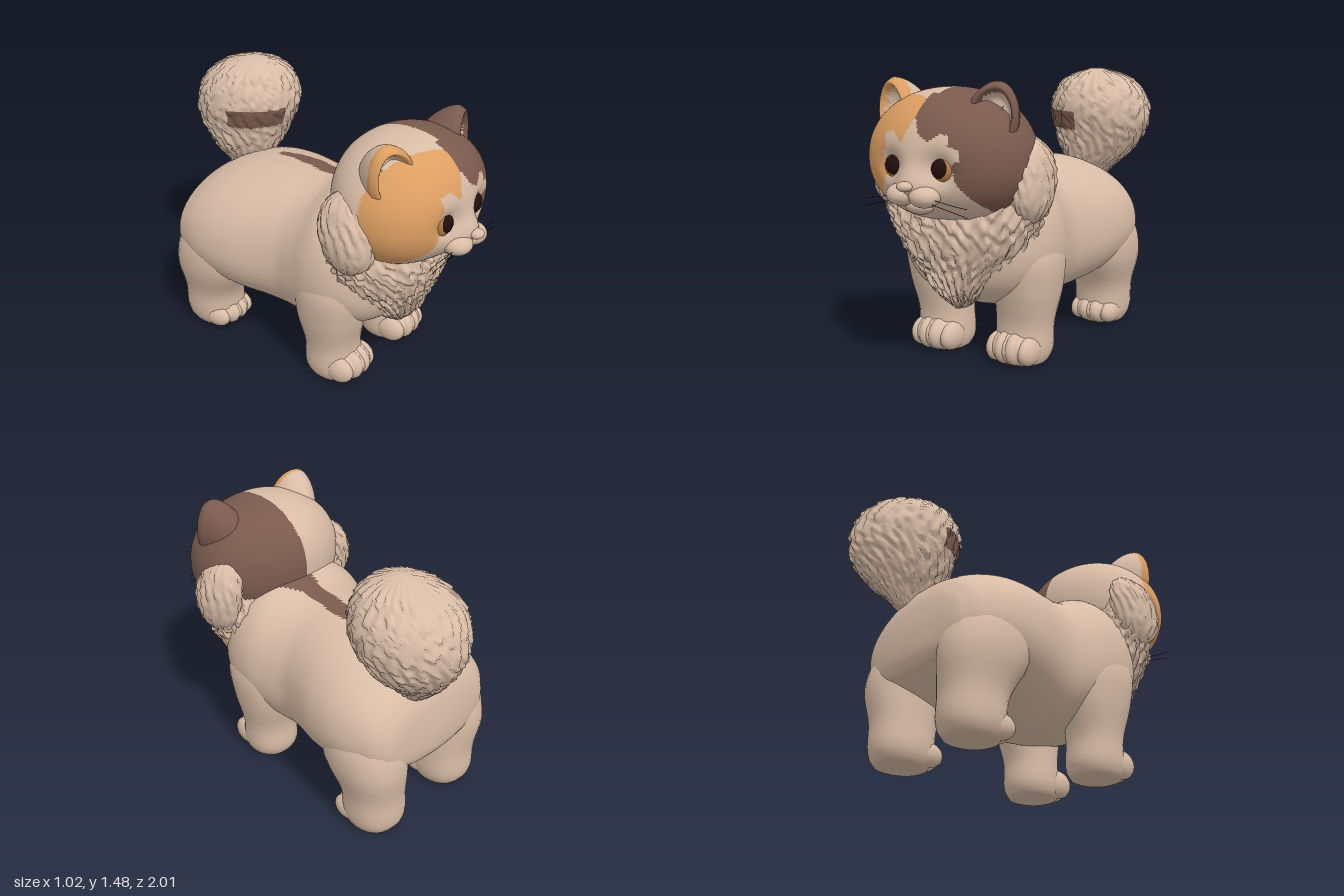
import * as THREE from 'three';

const mat = (name, color) => Object.assign(new THREE.MeshStandardMaterial({ color }), { name });
const cream = mat('cream fur', 0xd8bca6);
const brown = mat('dark brown fur', 0x7a5a4e);
const orange = mat('orange fur', 0xdc9e62);
const amber = mat('amber iris', 0xb07a42);
const black = mat('eye black', 0x220d0d);
const furs = [cream, brown, orange];

// Smooth closed skin through elliptical rows [t, centreX, centre2, radiusX, radius2].
// Axis 'y' uses z as second direction, axis 'z' uses y.
function loft(rows, axis, { seg = 28, steps = 24, power = 2, egg = 0, fur = null } = {}) {
  const curve = new THREE.CubicInterpolant(rows.map(r => r[0]), rows.flatMap(r => r.slice(1)), 4, new Float32Array(4));
  const t0 = rows[0][0], t1 = rows[rows.length - 1][0];
  const pos = [], index = [];
  for (let i = 0; i <= steps + 2; i++) {
    const u = Math.min(Math.max(i - 1, 0), steps) / steps;
    const t = t0 + (t1 - t0) * (0.5 * u + 0.25 * (1 - Math.cos(Math.PI * u)));
    const [cx, c2, rx, r2] = curve.evaluate(t);
    const cap = i === 0 || i === steps + 2 ? 0.001 : 1;
    for (let j = 0; j < seg; j++) {
      const a = j / seg * Math.PI * 2;
      const round = v => Math.sign(v) * Math.pow(Math.abs(v), 2 / power);
      const c = round(Math.cos(a)), s = round(Math.sin(a));
      const d = fur ? fur(a, t) * Math.min(1, rx / 0.15) : 0;
      const x = cx + (rx + d) * cap * c * (1 - egg * s), v = (r2 + d) * cap * s;
      if (axis === 'y') pos.push(x, t, c2 - v);
      else pos.push(x, c2 + v, t);
      if (i < steps + 2) {
        const p = i * seg + j, q = i * seg + (j + 1) % seg;
        index.push(p, q, p + seg, q, q + seg, p + seg);
      }
    }
  }
  const geo = new THREE.BufferGeometry();
  geo.setAttribute('position', new THREE.Float32BufferAttribute(pos, 3));
  geo.setIndex(index);
  geo.computeVertexNormals();
  return geo;
}

// Sort faces into material groups by a rule on the face centre.
function paint(geo, rule) {
  const p = geo.attributes.position, src = geo.index.array, bins = [[], [], []];
  for (let i = 0; i < src.length; i += 3) {
    const f = [src[i], src[i + 1], src[i + 2]];
    const mid = get => (get(f[0]) + get(f[1]) + get(f[2])) / 3;
    bins[rule(mid(k => p.getX(k)), mid(k => p.getY(k)), mid(k => p.getZ(k)))].push(...f);
  }
  geo.setIndex(bins.flat());
  geo.clearGroups();
  let start = 0;
  bins.forEach((b, m) => { if (b.length) geo.addGroup(start, b.length, m); start += b.length; });
  return geo;
}

function deform(geo, rule) {
  const p = geo.attributes.position;
  for (let i = 0; i < p.count; i++) p.setXYZ(i, ...rule(p.getX(i), p.getY(i), p.getZ(i)));
  geo.computeVertexNormals();
  return geo;
}

function inside(poly, x, y) {
  let hit = false;
  poly.forEach(([ax, ay], i) => {
    const [bx, by] = poly[(i + 1) % poly.length];
    if ((ay > y) !== (by > y) && x < ax + (bx - ax) * (y - ay) / (by - ay)) hit = !hit;
  });
  return hit;
}

// Overlapping pointed locks of fur.
const locks = (count, layers, depth) => (a, t) => {
  const zig = Math.abs(Math.sin(a * count + 1.7 * Math.sin(t * 17))) + 0.5 * Math.sin(a * 5);
  const f = t * layers + zig * 0.8;
  return depth * (0.6 - (f - Math.floor(f))) + depth * 0.3 * Math.sin(a * count * 3 + 4 * Math.sin(t * 12));
};

// Cream face blaze (x, y) and brown back stripe (x, z).
const blaze = [[-.015, 1.31], [.03, 1.23], [.08, 1.2], [.14, 1.24], [.18, 1.23], [.18, 1.18], [.23, 1.17], [.24, 1.12],
  [.19, 1.1], [.21, 1.02], [.25, .96], [.3, .88], [.3, .7], [-.36, .7], [-.31, .87], [-.22, .95], [-.18, 1.03],
  [-.2, 1.13], [-.17, 1.16], [-.19, 1.23], [-.12, 1.24], [-.07, 1.18]];
const stripe = [[.055, -.36], [.09, -.36], [.118, -.2], [.118, -.08], [.1, 0], [.1, .12], [.2, .24], [.36, .4], [.02, .4],
  [-.012, .2], [0, .03]];

export function createModel() {
  const cat = new THREE.Group();
  cat.name = 'cat';
  const add = (name, geo, material, parent = cat) => {
    const m = new THREE.Mesh(geo, material);
    m.name = name;
    parent.add(m);
    return m;
  };
  const ballGeo = new THREE.SphereGeometry(1, 20, 14);
  const ball = (name, material, at, r, parent) => {
    const m = add(name, ballGeo, material, parent);
    m.position.set(...at);
    m.scale.set(...r);
  };

  // Torso: [z, bottom, top, half width]
  const torso = [[-.785, .46, .6, .1], [-.765, .41, .72, .3], [-.72, .38, .83, .4], [-.63, .34, .91, .46], [-.48, .295, .975, .495],
    [-.3, .26, 1.01, .48], [-.1, .24, 1.025, .42], [0, .23, 1.025, .4], [.1, .235, 1.035, .415], [.25, .26, 1.1, .445],
    [.4, .3, 1.06, .42], [.52, .37, .95, .33], [.6, .47, .85, .17]]
    .map(([z, lo, hi, w]) => [z, 0, (lo + hi) / 2, w, (hi - lo) / 2]);
  add('torso', paint(loft(torso, 'z', { seg: 160, steps: 84, power: 2.2, egg: .07 }),
    (x, y, z) => y > .85 && inside(stripe, x, z) ? 1 : 0), furs);

  // Legs and paws
  const legs = {
    front: [[0, .245, .29, .125, .13], [.04, .245, .285, .145, .148], [.2, .25, .28, .15, .145], [.4, .27, .28, .17, .19],
      [.58, .27, .29, .178, .2], [.85, .2, .29, .13, .13]],
    hind: [[0, .28, -.58, .125, .135], [.04, .28, -.585, .148, .158], [.22, .285, -.58, .16, .175], [.42, .305, -.54, .188, .238],
      [.6, .275, -.51, .195, .225], [.82, .18, -.47, .12, .14]],
  };
  for (const [end, rows] of Object.entries(legs)) for (const s of [1, -1]) {
    const leg = new THREE.Group();
    leg.name = end + (s > 0 ? 'LeftLeg' : 'RightLeg');
    cat.add(leg);
    add('leg', loft(rows.map(([y, x, ...r]) => [y, s * x, ...r]), 'y', { power: 2.2 }), cream, leg);
    const isFront = end === 'front', h = isFront ? .088 : .075, pz = isFront ? .375 : -.5;
    const px = s * (isFront ? .24 : .28);
    ball('paw', cream, [px, h, pz], [.148, h, .113], leg);
    for (const k of [-1.5, -.5, .5, 1.5]) {
      const outer = Math.abs(k) > 1;
      ball('toe', cream, [px + k * .062, outer ? h * .92 : h, pz + (outer ? .005 : .025)], [.054, outer ? h * .9 : h, .096], leg);
    }
  }

  // Neck ruff, bib and cheek tufts
  const ruff = [[.3, 0, .5, .03, .05], [.38, 0, .5, .12, .115], [.5, 0, .49, .225, .18], [.65, 0, .475, .36, .25], [.78, 0, .475, .43, .265],
    [.9, 0, .465, .465, .23], [1.03, 0, .465, .455, .17], [1.15, 0, .455, .39, .1]];
  add('ruff', loft(ruff, 'y', { seg: 170, steps: 70, fur: locks(11, 6, .028) }), cream);
  const cheek = [[.79, .41, .49, .03, .05], [.85, .41, .49, .07, .12], [.95, .41, .485, .092, .155], [1.06, .4, .47, .09, .15],
    [1.15, .38, .46, .07, .11], [1.2, .36, .455, .03, .05]];
  for (const s of [1, -1])
    add(s > 0 ? 'leftCheekRuff' : 'rightCheekRuff',
      loft(cheek.map(([y, x, ...r]) => [y, s * x, ...r]), 'y', { seg: 70, steps: 26, fur: locks(5, 7, .02) }), cream);

  // Tail
  const tail = [[.8, .13, -.68, .06, .08], [.88, .14, -.69, .11, .15], [.96, .16, -.7, .18, .205], [1.1, .185, -.71, .255, .275],
    [1.25, .19, -.69, .28, .298], [1.37, .19, -.67, .228, .245], [1.44, .19, -.65, .14, .155], [1.475, .19, -.63, .03, .04]];
  add('tail', paint(loft(tail, 'y', { seg: 110, steps: 60, fur: locks(9, 8, .018) }),
    (x, y, z) => x < .17 && z > -.62 && y > 1.13 && y < 1.24 ? 1 : 0), furs);

  // Head with eye sockets and a raised muzzle
  const head = new THREE.Group();
  head.name = 'head';
  cat.add(head);
  const round = (v, e) => Math.sign(v) * Math.pow(Math.abs(v), e);
  const skull = deform(new THREE.SphereGeometry(1, 160, 100), (x, y, z) => {
    const hx = round(x, .94) * .44 * (1 - .06 * y) * (z < 0 ? 1 - .14 * z * z : 1), hy = 1.1 + round(y, .94) * .332;
    const eye = Math.hypot(Math.abs(hx) - .135, hy - 1.07) / .07, snout = Math.hypot(hx / .12, (hy - .975) / .09);
    const relief = .065 * Math.exp(-snout * snout) - .05 * Math.exp(-eye * eye);
    return [hx, hy, .55 + round(z, z > 0 ? .87 : .94) * .36 + (z > 0 ? relief : 0)];
  });
  add('skull', paint(skull, (x, y, z) => {
    if (z > .6 && inside(blaze, x, y)) return 0;
    if (x > (z > .7 ? -.015 : .02)) return 1;
    return z > .56 + Math.max(0, x + .4) * .5 ? 2 : 0;
  }), furs, head);

  for (const s of [1, -1]) {
    const side = s > 0 ? 'left' : 'right';

    // Cupped ear: the front half of a ball is pushed in behind a thick rolled rim, the back runs into the skull
    const earGeo = paint(new THREE.SphereGeometry(1, 48, 36), (x, y, z) =>
      z > 0 && Math.hypot(x, y) < .68 ? 0 : s > 0 ? 1 : z > -.15 ? 2 : 0);
    deform(earGeo, (x, y, z) => {
      const t = 1 - Math.hypot(x, y);
      const cup = .3 * Math.sin(Math.min(t / .36, 1) * Math.PI) - .4 * THREE.MathUtils.smoothstep(t, .2, .55);
      const skirt = x * s < 0 ? 1.1 + .35 * Math.max(0, -y) : 1;
      return [x * skirt * (1 - .14 * y) * .122, y * .165, z > 0 ? cup * .12 : z * .21 * (1 - .3 * y)];
    });
    const ear = add(side + 'Ear', earGeo, furs, head);
    ear.position.set(s * .288, 1.31, .645);
    ear.rotation.set(-.06, s * .33, -s * .2);
    for (const k of [-1, 0, 1]) {
      const tuft = add('earTuft', new THREE.ConeGeometry(.024, .13, 7), cream, ear);
      tuft.position.set(k * .03 - s * .015, -.02 + .015 * k * s, -.035);
      tuft.rotation.z = -k * .2;
      tuft.scale.z = .6;
    }

    // Eye: amber ball with a large dark front
    ball(side + 'Iris', amber, [s * .137, 1.068, .848], [.058, .062, .04], head);
    ball(side + 'Pupil', black, [s * .134, 1.073, .858], [.05, .052, .038], head);

    // Muzzle and whiskers
    ball(side + 'Muzzle', cream, [s * .066, .945, .895], [.078, .055, .078], head);
    for (const k of [0, 1]) {
      const path = new THREE.QuadraticBezierCurve3(new THREE.Vector3(s * .12, .94 - k * .025, .92),
        new THREE.Vector3(s * .2, .915 - k * .025, .895), new THREE.Vector3(s * .3, .905 - k * .04, .89));
      add(side + 'Whisker', new THREE.TubeGeometry(path, 12, .0016, 5), black, head);
    }
  }
  ball('nose', cream, [0, .995, .963], [.04, .025, .035], head);
  ball('chin', cream, [0, .89, .845], [.08, .045, .06], head);

  return cat;
}
